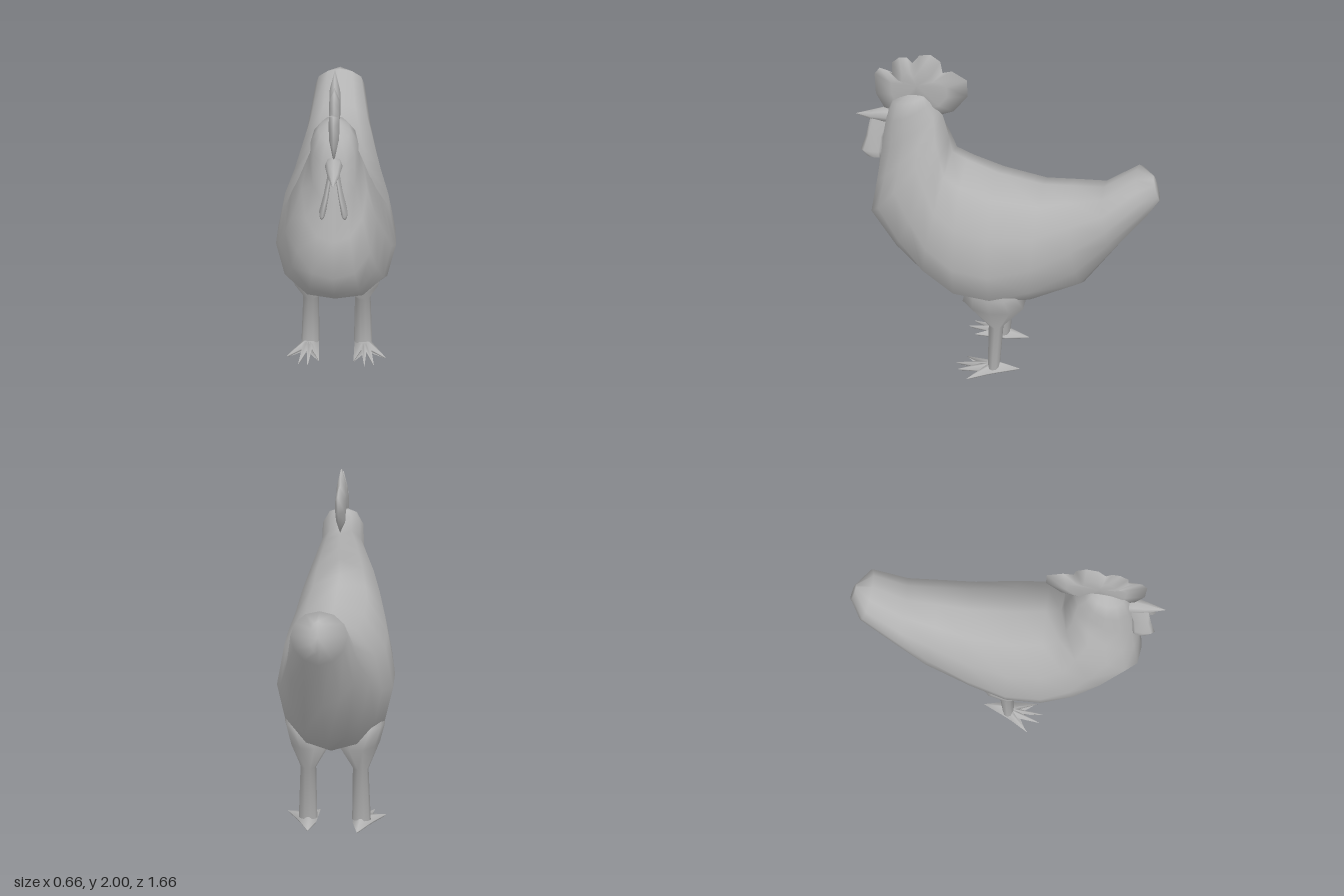
import * as THREE from 'three';

const plumage = new THREE.MeshStandardMaterial({ color: 0xb4b4b4 });
plumage.name = 'plain grey';

// Skin a list of equal-length rings into a closed smooth surface, with a centre point at each end.
function loft(name, rings) {
  const n = rings[0].length, pos = [], index = [];
  const add = p => pos.push(p.x, p.y, p.z);
  const middle = r => r.reduce((s, p) => s.add(p), new THREE.Vector3()).divideScalar(n);
  rings.forEach(r => r.forEach(add));
  const last = (rings.length - 1) * n, start = rings.length * n;
  add(middle(rings[0]));
  add(middle(rings[rings.length - 1]));
  for (let j = 0; j < n; j++) {
    const k = (j + 1) % n;
    for (let a = 0; a < last; a += n) index.push(a + j, a + n + j, a + k, a + k, a + n + j, a + n + k);
    index.push(start, j, k, start + 1, last + k, last + j);
  }
  // Turn the faces outward if the enclosed volume comes out negative.
  const v = i => new THREE.Vector3().fromArray(pos, i * 3);
  let volume = 0;
  for (let i = 0; i < index.length; i += 3) volume += v(index[i]).dot(v(index[i + 1]).cross(v(index[i + 2])));
  if (volume < 0) index.reverse();
  const geometry = new THREE.BufferGeometry();
  geometry.setAttribute('position', new THREE.Float32BufferAttribute(pos, 3));
  geometry.setIndex(index);
  geometry.computeVertexNormals();
  const mesh = new THREE.Mesh(geometry, plumage);
  mesh.name = name;
  return mesh;
}

// Ring standing across the body between a back point and a belly point;
// k above 1 lowers its widest level, below 1 raises it.
function section([zTop, yTop, zBottom, yBottom, w, k = 1]) {
  return Array.from({ length: 12 }, (_, i) => {
    const a = i / 12 * Math.PI * 2, t = Math.pow(Math.max(0, 0.5 + 0.5 * Math.cos(a)), k);
    return new THREE.Vector3(w * Math.sin(a), yBottom + (yTop - yBottom) * t, zBottom + (zTop - zBottom) * t);
  });
}

// Horizontal ellipse.
function level([x, y, z, rx, rz], n = 10) {
  return Array.from({ length: n }, (_, i) => {
    const a = i / n * Math.PI * 2;
    return new THREE.Vector3(x + rx * Math.cos(a), y, z + rz * Math.sin(a));
  });
}

// Body from tail tip to crown: zTop, yTop, zBottom, yBottom, half width, k
const BODY = [
  [-0.79, 1.41, -0.835, 1.26, 0.035],
  [-0.70, 1.44, -0.79, 1.185, 0.143, 0.9],
  [-0.53, 1.30, -0.62, 0.91, 0.185, 0.8],
  [-0.36, 1.285, -0.45, 0.63, 0.23, 0.8],
  [-0.20, 1.27, -0.16, 0.515, 0.28, 1.05],
  [0.05, 1.31, 0.04, 0.50, 0.328, 1.3],
  [0.22, 1.37, 0.25, 0.52, 0.328, 1.35],
  [0.30, 1.41, 0.45, 0.64, 0.30, 1.3],
  [0.315, 1.50, 0.62, 0.79, 0.26, 1.2],
  [0.33, 1.57, 0.765, 1.00, 0.215, 1.2],
  [0.345, 1.63, 0.73, 1.20, 0.165, 1.1],
  [0.36, 1.67, 0.70, 1.40, 0.123],
  [0.40, 1.73, 0.66, 1.60, 0.118],
  [0.43, 1.76, 0.62, 1.71, 0.08],
  [0.46, 1.765, 0.55, 1.752, 0.03],
];

// Thigh and shank levels: x, y, z, rx, rz
const LEG = [
  [0.17, 0.80, 0.05, 0.10, 0.10],
  [0.18, 0.62, 0.05, 0.106, 0.15],
  [0.135, 0.51, 0.045, 0.123, 0.185],
  [0.15, 0.35, 0.03, 0.045, 0.043],
  [0.155, 0.03, 0.045, 0.054, 0.035],
];

// Toe tips and the webs between them, as x, z
const FOOT = [
  [0.14, -0.11], [0.20, 0.02], [0.225, 0.07], [0.29, 0.18], [0.205, 0.11], [0.22, 0.25], [0.175, 0.125],
  [0.165, 0.27], [0.145, 0.11], [0.10, 0.22], [0.105, 0.03],
];

// Comb outline, as z, y
const COMB = [
  [0.655, 1.62], [0.71, 1.73], [0.71, 1.85], [0.68, 1.89], [0.64, 1.88], [0.615, 1.86],
  [0.61, 1.93], [0.57, 1.965], [0.53, 1.97], [0.50, 1.94], [0.46, 1.99], [0.40, 2.0],
  [0.35, 1.965], [0.34, 1.90], [0.29, 1.915], [0.21, 1.87], [0.21, 1.77], [0.29, 1.67],
  [0.36, 1.64], [0.50, 1.70],
];

export function createModel() {
  const bird = new THREE.Group();
  bird.name = 'rooster';
  bird.add(loft('body', BODY.map(section)));

  // Comb: lens-shaped blade, thickest in the middle
  const blade = (x, s) => COMB.map(([z, y]) => new THREE.Vector3(x, 1.77 + (y - 1.77) * s, 0.47 + (z - 0.47) * s));
  bird.add(loft('comb', [blade(-0.025, 0.6), blade(0, 1), blade(0.025, 0.6)]));

  // Beak: drooping cone, as z, y, radius
  const beak = [[0.60, 1.605, 0.042], [0.67, 1.605, 0.042], [0.74, 1.593, 0.028], [0.83, 1.587, 0.001]];
  bird.add(loft('beak', beak.map(([z, y, r]) => Array.from({ length: 8 }, (_, i) => {
    const a = i / 8 * Math.PI * 2;
    return new THREE.Vector3(r * Math.cos(a), y + r * Math.sin(a), z);
  }))));

  for (const side of [1, -1]) {
    const name = side > 0 ? 'left' : 'right';
    const mirror = ring => ring.map(p => p.setX(p.x * side));

    // Wattle: flat flap hanging below the beak
    const wattle = [
      [0.018, 1.58, 0.69, 0.010, 0.055], [0.035, 1.48, 0.72, 0.013, 0.05],
      [0.053, 1.395, 0.74, 0.017, 0.06], [0.057, 1.36, 0.725, 0.012, 0.04],
    ];
    bird.add(loft(name + 'Wattle', wattle.map(l => mirror(level(l, 8)))));

    bird.add(loft(name + 'Leg', LEG.map(l => mirror(level(l)))));

    // Foot: pointed toes rising to the ankle
    const toes = (y, s) => mirror(FOOT.map(([x, z]) => new THREE.Vector3(0.155 + (x - 0.155) * s, y, 0.05 + (z - 0.05) * s)));
    bird.add(loft(name + 'Foot', [toes(0, 0.9), toes(0.012, 1), toes(0.045, 0.35)]));
  }
  return bird;
}
